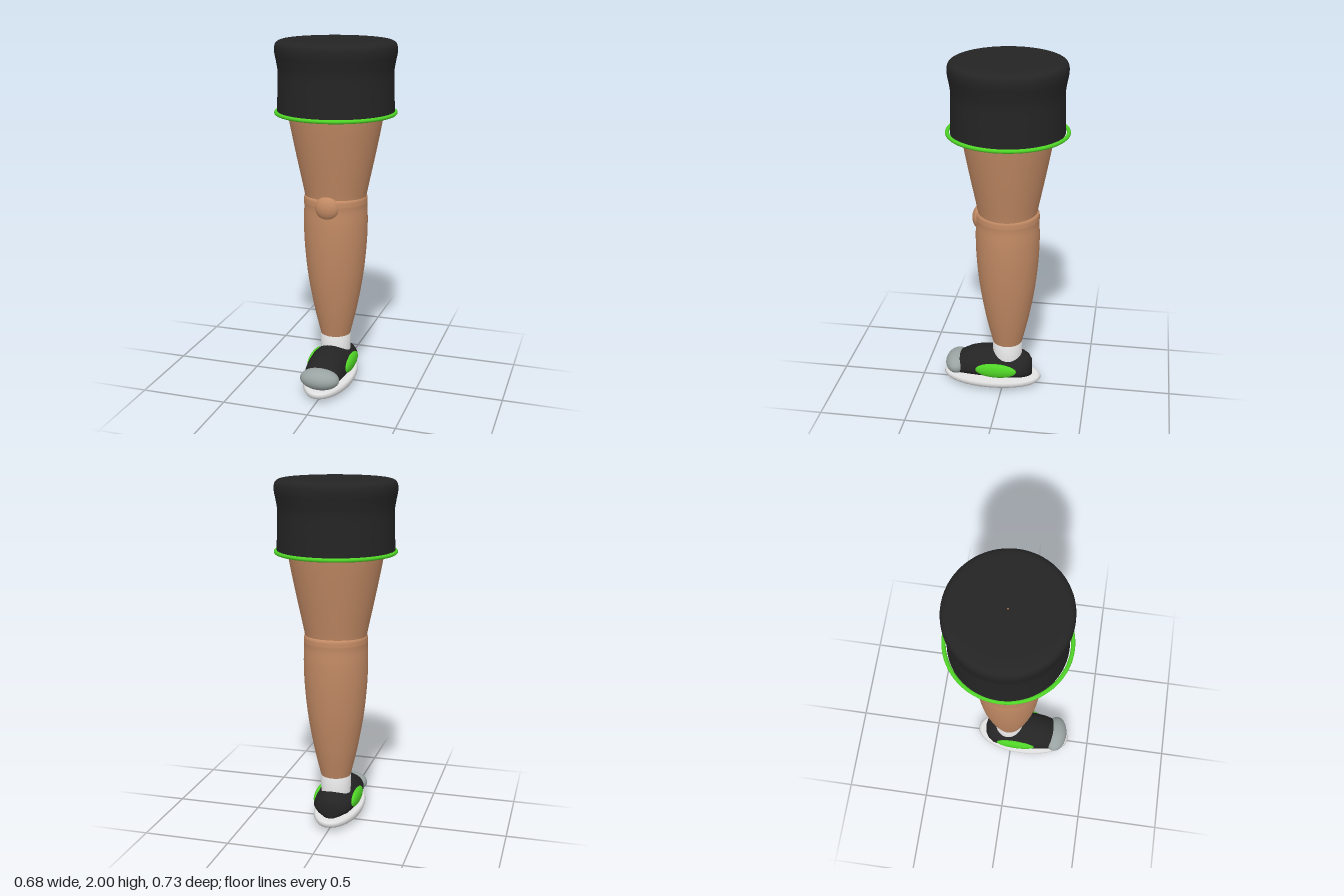
import * as THREE from 'three';

const LEG_Z = -0.022;
const paint = (name, color, side = THREE.FrontSide) => {
  const m = new THREE.MeshStandardMaterial({ color, side });
  m.name = name;
  return m;
};

export function createModel() {
  const skin = paint('skin', 0xc28a64);
  const black = paint('black fabric', 0x242424, THREE.DoubleSide);
  const green = paint('green trim', 0x4fd426);
  const white = paint('white', 0xe2e2e2);
  const grey = paint('grey toe', 0x99a3a1);

  const leg = new THREE.Group();
  leg.name = 'leg';

  const add = (name, geometry, material, x = 0, y = 0, z = 0) => {
    const mesh = new THREE.Mesh(geometry, material);
    mesh.name = name;
    mesh.position.set(x, y, z);
    leg.add(mesh);
    return mesh;
  };
  // Profiles are [radius, height] pairs from bottom to top, smoothed by a spline
  const turned = (pairs, smooth = true, steps = 40) => {
    let pts = pairs.map(([r, y]) => new THREE.Vector2(r, y));
    if (smooth) pts = new THREE.SplineCurve(pts).getPoints(steps);
    return new THREE.LatheGeometry(pts, 64);
  };
  const ellipsoid = (rx, ry, rz) => new THREE.SphereGeometry(1, 40, 24).scale(rx, ry, rz);

  // Shorts leg, open underneath, with a green hem
  add('shorts', turned([
    [0.328, 1.6], [0.324, 1.72], [0.321, 1.82], [0.329, 1.88], [0.338, 1.93],
    [0.335, 1.97], [0.315, 1.99], [0.27, 1.997], [0.15, 2], [0.004, 2],
  ], true, 60).scale(1, 1, 0.96), black, 0, 0, LEG_Z);
  add('hem', new THREE.TorusGeometry(0.331, 0.011, 12, 80).rotateX(Math.PI / 2), green, 0, 1.6, LEG_Z);

  // Thigh, calf and knee
  add('thigh', turned([
    [0.165, 1.06], [0.176, 1.13], [0.19, 1.2], [0.232, 1.4], [0.269, 1.6], [0.28, 1.75], [0.2, 1.93], [0.004, 1.985],
  ]).scale(1, 1, 0.955), skin, 0, 0, LEG_Z);
  add('calf', turned([
    [0.08, 0.26], [0.09, 0.3], [0.127, 0.46], [0.16, 0.65], [0.178, 0.83], [0.183, 0.97],
    [0.18, 1.06], [0.181, 1.1], [0.172, 1.13], [0.12, 1.14],
  ], true, 60), skin, 0, 0, LEG_Z);
  add('kneecap', ellipsoid(0.07, 0.07, 0.045), skin, 0, 1.085, 0.135);

  // Sock
  add('sock', turned([[0.087, 0.14], [0.087, 0.297], [0.03, 0.297]], false), white, 0, 0, LEG_Z);

  // Shoe upper: flat-bottomed arches lofted along z, each [z, half width, height]
  const sections = [
    [-0.172, 0.012, 0.14], [-0.166, 0.05, 0.165], [-0.145, 0.085, 0.19], [-0.11, 0.11, 0.206],
    [-0.05, 0.122, 0.208], [0.02, 0.122, 0.222], [0.08, 0.122, 0.235], [0.14, 0.119, 0.232],
    [0.2, 0.113, 0.215], [0.26, 0.1, 0.183], [0.31, 0.07, 0.14],
  ];
  const ring = 32, base = 0.06, pos = [], idx = [];
  sections.forEach(([z, w, top]) => {
    const low = Math.min(0.055, (top - base) * 0.4);
    for (let j = 0; j <= ring; j++) {
      const a = (j / ring) * Math.PI * 2;
      const s = Math.sin(a);
      pos.push(Math.cos(a) * w, base + low + s * (s > 0 ? top - base - low : low), z);
    }
  });
  const row = ring + 1;
  for (let i = 0; i < sections.length - 1; i++) {
    for (let j = 0; j < ring; j++) {
      const a = i * row + j, b = a + row;
      idx.push(a, a + 1, b, a + 1, b + 1, b);
    }
  }
  for (let j = 1; j < ring - 1; j++) {
    const e = (sections.length - 1) * row;
    idx.push(0, j + 1, j, e, e + j, e + j + 1);
  }
  const upper = new THREE.BufferGeometry();
  upper.setAttribute('position', new THREE.Float32BufferAttribute(pos, 3));
  upper.setIndex(idx);
  upper.computeVertexNormals();
  add('shoeUpper', upper, black);

  add('toeCap', ellipsoid(0.115, 0.061, 0.072), grey, 0, 0.118, 0.283);

  // Oval side patches
  for (const side of [1, -1]) {
    add(side > 0 ? 'leftPatch' : 'rightPatch', ellipsoid(0.025, 0.045, 0.125), green, side * 0.11, 0.13, 0.035);
  }

  // Sole: shallow oval dish
  add('sole', turned([
    [0, 0], [0.5, 0.003], [0.8, 0.012], [0.95, 0.025], [1, 0.043], [0.98, 0.058], [0.93, 0.065], [0, 0.067],
  ], false).scale(0.14, 1, 0.296), white, 0, 0, 0.071);

  return leg;
}
